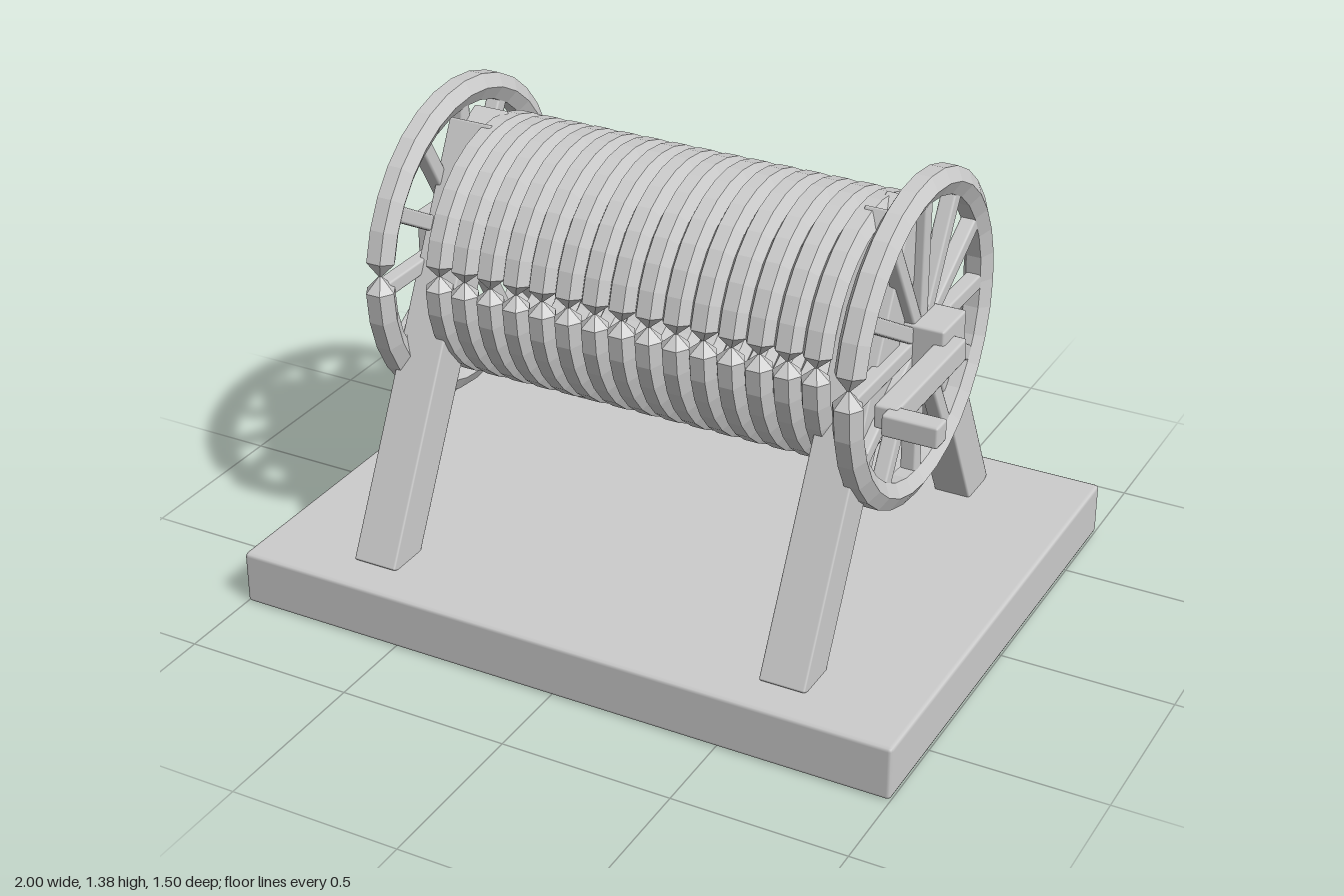
import * as THREE from 'three';
import { RoundedBoxGeometry } from 'three/addons/geometries/RoundedBoxGeometry.js';

const AXIS_Y = 0.915;
const grey = new THREE.MeshStandardMaterial({ color: 0xcccccc });
grey.name = 'grey';

function add(parent, name, geometry, x = 0, y = 0, z = 0) {
  const mesh = new THREE.Mesh(geometry, grey);
  mesh.name = name;
  mesh.position.set(x, y, z);
  parent.add(mesh);
  return mesh;
}

// Box with slightly softened edges
const softBox = (w, h, d, bevel = 0.008) => new RoundedBoxGeometry(w, h, d, 1, bevel);

// Faceted ring around the x axis with a six-sided section, pinched at its front joint
function ringGeometry(radius, tube, segments = 32) {
  const step = (Math.PI * 2) / segments;
  const sections = [[0, 1], [step / 2, 0.1]];
  for (let i = 1; i <= segments; i++) sections.push([i * step, 1]);
  const point = ([angle, scale], j) => {
    const t = (j * Math.PI) / 3;
    const r = radius + tube * scale * Math.sin(t);
    return [tube * scale * Math.cos(t), r * Math.sin(angle), r * Math.cos(angle)];
  };
  const positions = [];
  for (let i = 0; i < sections.length - 1; i++) {
    for (let j = 0; j < 6; j++) {
      const a = point(sections[i], j), b = point(sections[i + 1], j);
      const c = point(sections[i + 1], j + 1), d = point(sections[i], j + 1);
      positions.push(...a, ...b, ...d, ...b, ...c, ...d);
    }
  }
  const geometry = new THREE.BufferGeometry();
  geometry.setAttribute('position', new THREE.Float32BufferAttribute(positions, 3));
  geometry.computeVertexNormals();
  return geometry;
}

export function createModel() {
  const model = new THREE.Group();
  model.name = 'windlass';

  add(model, 'base', softBox(2, 0.16, 1.5, 0.012), 0, 0.08, 0);

  // A-frame legs, crossing at the top; the front ones are a little wider
  const lean = Math.atan2(0.572, 1.11);
  const legLength = 1.27;
  for (const side of [-1, 1]) {
    for (const end of [-1, 1]) {
      const leg = add(model, end > 0 ? 'frontLeg' : 'backLeg',
        softBox(end > 0 ? 0.134 : 0.11, legLength, 0.128, 0.006), side * 0.634,
        1.265 - (legLength / 2) * Math.cos(lean),
        end * (legLength / 2) * Math.sin(lean));
      leg.rotation.x = -end * lean;
    }
  }

  // Drum of stacked hollow hoops
  const drum = new THREE.Group();
  drum.name = 'drum';
  drum.position.y = AXIS_Y;
  model.add(drum);
  const hoop = ringGeometry(0.339, 0.0425);
  for (let i = -7; i <= 7; i++) add(drum, 'drumHoop', hoop, i * 0.0817);

  // Square axle whose ends form the wheel hubs
  add(model, 'axle', softBox(1.63, 0.152, 0.152), 0, AXIS_Y, 0);

  // Spoked wheels
  const rim = ringGeometry(0.43, 0.044);
  const spoke = softBox(0.045, 0.36, 0.045, 0.007).translate(0, 0.235, 0);
  for (const side of [-1, 1]) {
    const wheel = new THREE.Group();
    wheel.name = side > 0 ? 'leftWheel' : 'rightWheel';
    wheel.position.set(side * 0.705, AXIS_Y, 0);
    model.add(wheel);
    add(wheel, 'rim', rim);
    for (let i = 0; i < 12; i++) {
      add(wheel, 'spoke', spoke).rotation.x = (i * Math.PI) / 6;
    }
  }

  // Crank
  add(model, 'crankArm', softBox(0.067, 0.068, 0.448), 0.816, AXIS_Y, 0.223);
  add(model, 'crankHandle', softBox(0.155, 0.062, 0.062), 0.896, AXIS_Y, 0.452);

  return model;
}
